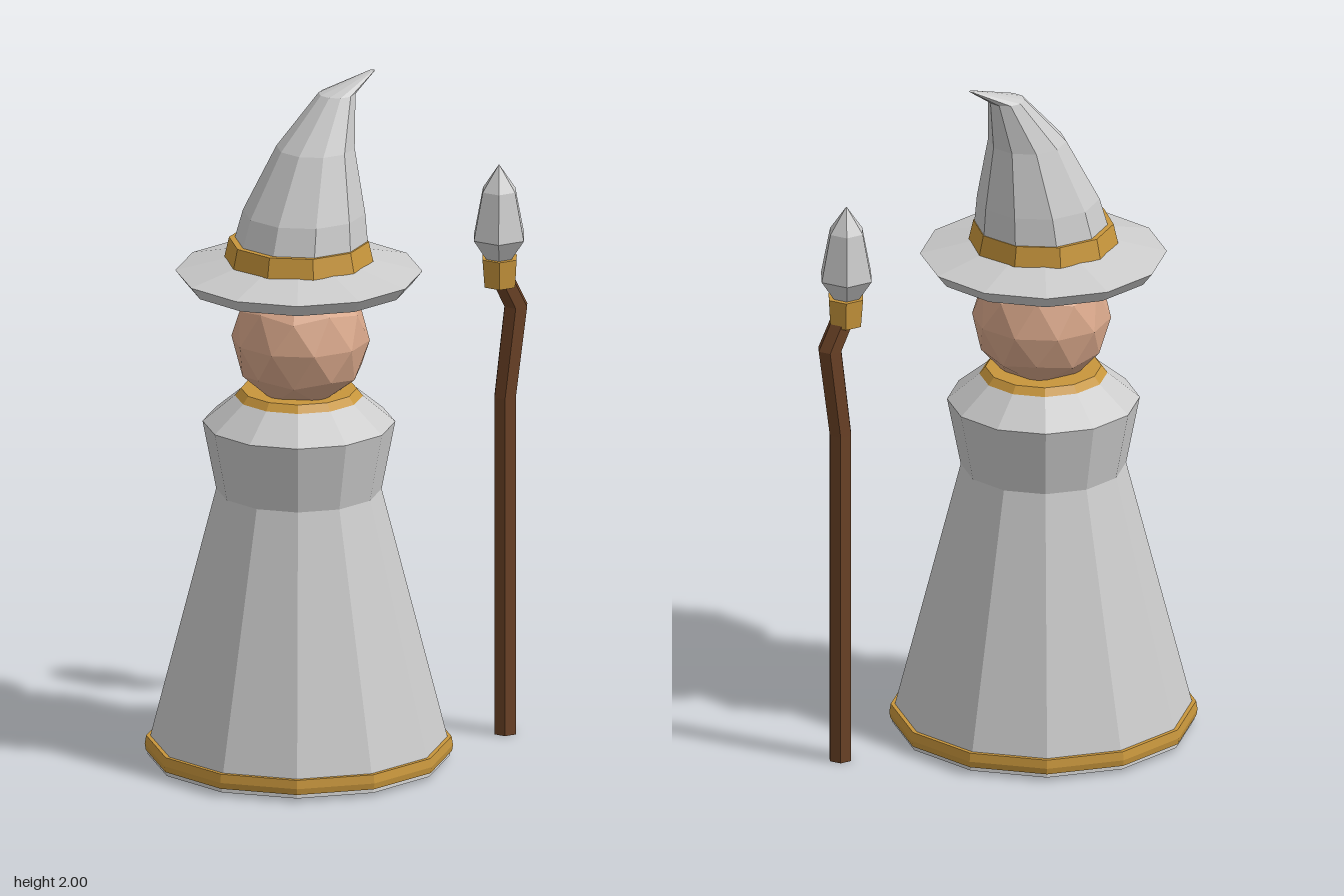
import * as THREE from 'three';

const GREY = 0xcccccc, GOLD = 0xc8963c, SKIN = 0xd8a78a, WOOD = 0x6b4226;

// Faceted solid through horizontal rings [x, y, z, radius], bottom to top, capped at both ends
function loft(rings, sides) {
  const point = ([x, y, z, r], i) => {
    const a = (i / sides) * Math.PI * 2;
    return [x + r * Math.cos(a), y, z - r * Math.sin(a)];
  };
  const pos = [];
  const first = rings[0], last = rings[rings.length - 1];
  for (let i = 0; i < sides; i++) {
    for (let k = 0; k < rings.length - 1; k++) {
      const a = point(rings[k], i), b = point(rings[k], i + 1);
      const c = point(rings[k + 1], i + 1), d = point(rings[k + 1], i);
      pos.push(...a, ...b, ...c, ...a, ...c, ...d);
    }
    pos.push(...first.slice(0, 3), ...point(first, i + 1), ...point(first, i));
    pos.push(...last.slice(0, 3), ...point(last, i), ...point(last, i + 1));
  }
  const g = new THREE.BufferGeometry();
  g.setAttribute('position', new THREE.Float32BufferAttribute(pos, 3));
  g.computeVertexNormals();
  return g;
}

// Rings sharing one vertical axis, from [radius, y] pairs
const upright = (x, z, profile) => profile.map(([r, y]) => [x, y, z, r]);

export function createModel() {
  const model = new THREE.Group();
  const add = (name, geometry, color, parent = model) => {
    const mesh = new THREE.Mesh(geometry, new THREE.MeshStandardMaterial({ color, flatShading: true }));
    mesh.name = name;
    parent.add(mesh);
    return mesh;
  };
  const cx = -0.135;

  // Robe with gold hem and collar
  add('robe', loft(upright(cx, 0, [[0.43, 0.01], [0.422, 0.065], [0.235, 0.8], [0.274, 1.0], [0.172, 1.085]]), 12), GREY);
  add('hem', loft(upright(cx, 0, [[0.435, 0.022], [0.438, 0.04], [0.434, 0.065]]), 12), GOLD);
  add('collar', loft(upright(cx, 0, [[0.185, 1.073], [0.165, 1.098]]), 12), GOLD);

  // Faceted head, turned so a vertex points straight up
  const headShape = new THREE.IcosahedronGeometry(0.198, 1);
  headShape.rotateZ(-Math.atan(2 / (1 + Math.sqrt(5))));
  headShape.rotateY(Math.PI / 2);
  add('head', headShape, SKIN).position.set(cx, 1.25, 0.01);

  // Hat: flat-bottomed brim, band and a crown that bends to the left
  const hat = new THREE.Group();
  hat.name = 'hat';
  add('brim', loft(upright(cx, 0, [[0.322, 1.41], [0.351, 1.447], [0.2, 1.485]]), 12), GREY, hat);
  add('hatBand', loft(upright(cx, 0, [[0.213, 1.482], [0.2, 1.54]]), 10), GOLD, hat);
  add('crown', loft([
    [cx, 1.47, 0, 0.203],
    [-0.118, 1.62, 0, 0.175],
    [-0.078, 1.805, -0.005, 0.112],
    [-0.002, 1.95, -0.016, 0.053],
    [0.114, 2.0, -0.018, 0.008],
  ], 10), GREY, hat);
  model.add(hat);

  // Crooked staff with a gold socket and a pointed crystal
  const staff = new THREE.Group();
  staff.name = 'staff';
  const sz = 0.075;
  add('shaft', loft([
    [0.495, 0, sz, 0.035],
    [0.495, 1.0, sz, 0.035],
    [0.53, 1.265, sz, 0.037],
    [0.483, 1.36, sz, 0.036],
  ], 6), WOOD, staff);
  add('socket', loft([[0.478, 1.332, sz, 0.05], [0.477, 1.415, sz, 0.056]], 6), GOLD, staff);
  add('crystal', loft(upright(0.475, sz, [[0.035, 1.405], [0.082, 1.475], [0.053, 1.615], [0.001, 1.69]]), 6), GREY, staff);
  model.add(staff);

  return model;
}
